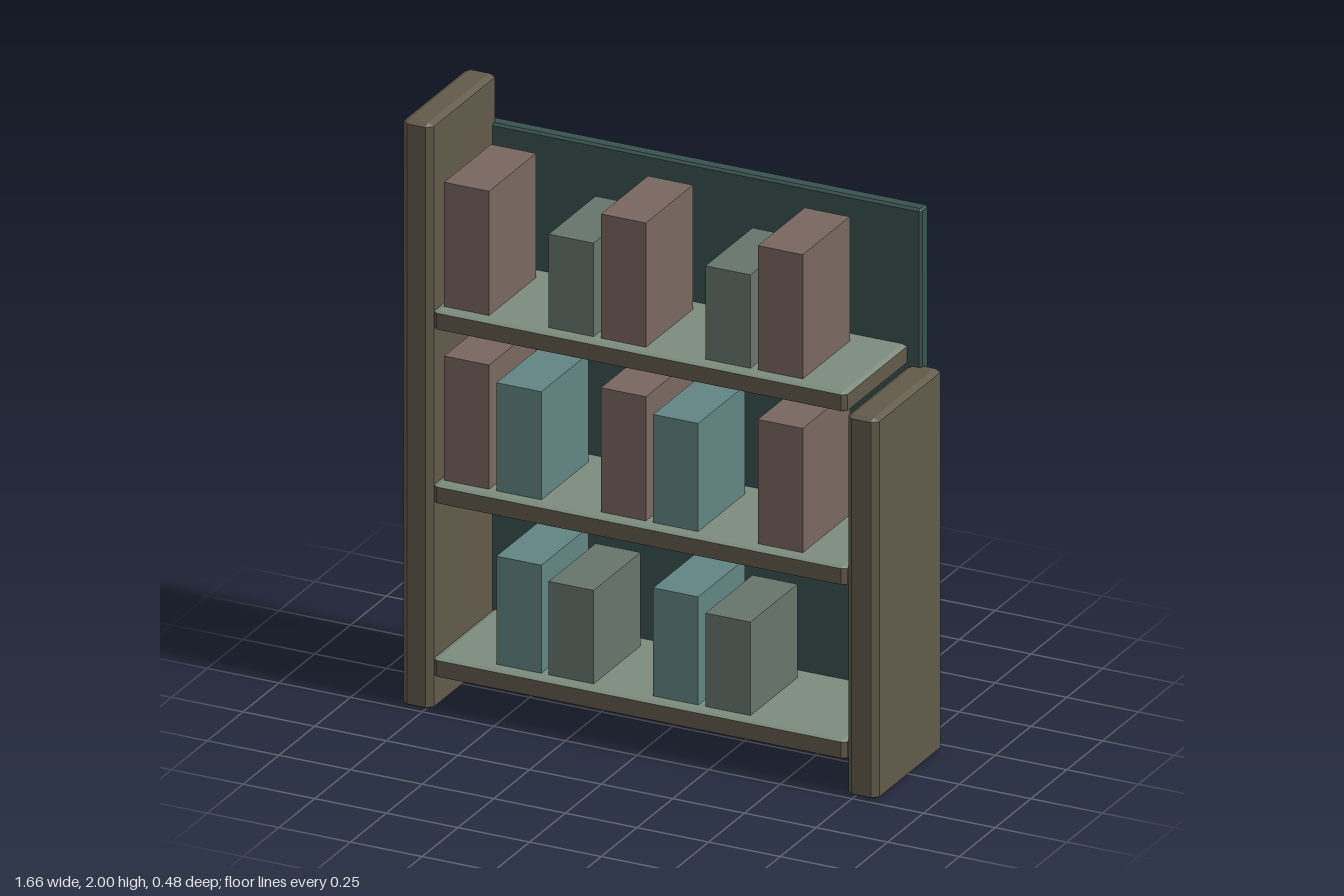
import * as THREE from 'three';
import { ConvexGeometry } from 'three/addons/geometries/ConvexGeometry.js';

const paint = (color) => new THREE.MeshStandardMaterial({ color, flatShading: true, roughness: 0.9 });

// Box between two corners, with chamfers of size b = [bx, by, bz] on every edge
function chamferBox(min, max, b) {
  const c = min.map((v, i) => (v + max[i]) / 2);
  const h = min.map((v, i) => (max[i] - v) / 2);
  const points = [];
  for (const sx of [-1, 1]) for (const sy of [-1, 1]) for (const sz of [-1, 1]) {
    const s = [sx, sy, sz];
    for (let face = 0; face < 3; face++) {
      points.push(new THREE.Vector3(...s.map((k, i) => c[i] + k * (h[i] - (i === face ? 0 : b[i])))));
    }
  }
  return new ConvexGeometry(points);
}

// Upward faces use the second material
function splitTop(geometry) {
  const n = geometry.attributes.normal;
  for (let i = 0; i < n.count; i += 3) geometry.addGroup(i, 3, n.getY(i) > 0.3 ? 1 : 0);
  return geometry;
}

export function createModel() {
  const model = new THREE.Group();
  model.name = 'bookcase';
  const wood = paint(0x625b4b);
  const backPaint = paint(0x39524f);
  const shelfTop = paint(0x7d8c7e);
  const bookPaint = { red: paint(0x79675f), teal: paint(0x618583), green: paint(0x67756b) };
  const bookHeight = { red: 0.425, teal: 0.37, green: 0.32 };

  function add(name, geometry, material, parent = model) {
    const mesh = new THREE.Mesh(geometry, material);
    mesh.name = name;
    parent.add(mesh);
    return mesh;
  }

  // Side panels: tall on the right, short on the left
  const bevel = [0.02, 0.01, 0.018];
  add('rightSidePanel', chamferBox([-0.83, 0, -0.225], [-0.725, 2, 0.237], bevel), wood);
  add('leftSidePanel', chamferBox([0.722, 0, -0.225], [0.83, 1.3, 0.237], bevel), wood);

  // Back panel
  add('backPanel', chamferBox([-0.772, 0.003, -0.24], [0.772, 1.84, -0.19], [0.008, 0.008, 0.008]), backPaint);

  // Shelves, each with its row of books by column
  const rows = [
    { top: 0.185, books: { 1: 'teal', 2: 'green', 4: 'teal', 5: 'green' } },
    { top: 0.777, books: { 0: 'red', 1: 'teal', 3: 'red', 4: 'teal', 6: 'red' } },
    { top: 1.37, books: { 0: 'red', 2: 'green', 3: 'red', 5: 'green', 6: 'red' } },
  ];
  rows.forEach(({ top, books }, r) => {
    const row = new THREE.Group();
    row.name = `shelfRow${r + 1}`;
    model.add(row);
    const board = chamferBox([-0.722, top - 0.067, -0.215], [0.722, top, 0.237], [0.016, 0.006, 0.012]);
    add('shelf', splitTop(board), [wood, shelfTop], row);
    for (const [column, kind] of Object.entries(books)) {
      const height = bookHeight[kind];
      const book = add('book', new THREE.BoxGeometry(0.157, height, 0.328), bookPaint[kind], row);
      book.position.set(-0.624 + 0.1825 * Number(column), top + height / 2 - 0.001, 0.028);
    }
  });
  return model;
}
